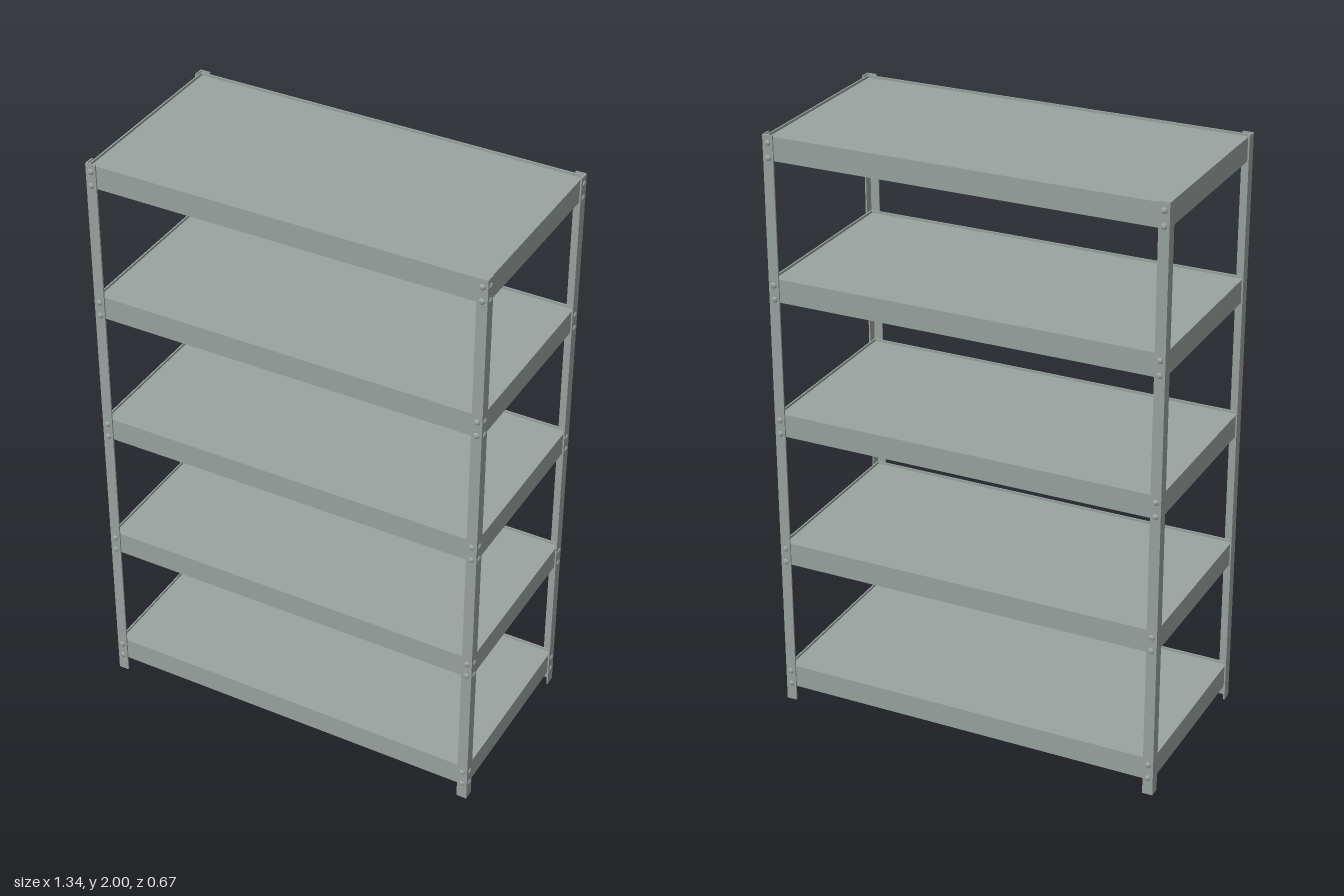
import * as THREE from 'three';

const steel = new THREE.MeshStandardMaterial({ color: 0x9aa3a0 });
steel.name = 'galvanised steel';

const XMIN = -0.669, XMAX = 0.663, Z = 0.331; // outer faces of the posts
const LEG = 0.035, WALL = 0.005;              // angle-iron leg width and thickness
const SHELF_BOTTOMS = [0.052, 0.518, 0.985, 1.451, 1.917];
const FLANGE = 0.078, DROP = 0.008;

function add(parent, name, geometry, x, y, z) {
  const mesh = new THREE.Mesh(geometry, steel);
  mesh.name = name;
  mesh.position.set(x, y, z);
  parent.add(mesh);
  return mesh;
}

// Upright with an L section, its corner at the origin and legs running towards sx, sz
function postGeometry(sx, sz) {
  const outline = [[0, 0], [LEG, 0], [LEG, WALL], [WALL, WALL], [WALL, LEG], [0, LEG]];
  const shape = new THREE.Shape(outline.map(([a, b]) => new THREE.Vector2(a * sx, -b * sz)));
  return new THREE.ExtrudeGeometry(shape, { depth: 2, bevelEnabled: false }).rotateX(-Math.PI / 2);
}

// Shallow domed bolt head pointing along +y
function boltGeometry(height) {
  const r = 0.01;
  const profile = [[r, 0], [r * 0.9, height * 0.5], [r * 0.55, height * 0.88], [0, height]];
  return new THREE.LatheGeometry(profile.map(([a, b]) => new THREE.Vector2(a, b)), 12);
}

// Tray: rectangular frame of folded edges with a sheet just below the rim
function createShelf(bottom) {
  const shelf = new THREE.Group();
  shelf.name = 'shelf';
  const x0 = XMIN + WALL, x1 = XMAX - WALL, z1 = Z - WALL;
  const width = x1 - x0, cx = (x0 + x1) / 2, cy = bottom + FLANGE / 2;
  for (const s of [1, -1]) {
    add(shelf, s > 0 ? 'frontFlange' : 'backFlange',
      new THREE.BoxGeometry(width, FLANGE, WALL), cx, cy, s * (z1 - WALL / 2));
    add(shelf, s > 0 ? 'leftFlange' : 'rightFlange',
      new THREE.BoxGeometry(WALL, FLANGE, 2 * (z1 - WALL)), cx + s * (width - WALL) / 2, cy, 0);
  }
  add(shelf, 'shelfSheet', new THREE.BoxGeometry(width - 2 * WALL, WALL, 2 * (z1 - WALL)),
    cx, bottom + FLANGE - DROP - WALL / 2, 0);
  return shelf;
}

export function createModel() {
  const model = new THREE.Group();
  model.name = 'shelvingUnit';

  SHELF_BOTTOMS.forEach((bottom) => model.add(createShelf(bottom)));

  for (const sx of [1, -1]) {
    for (const sz of [1, -1]) {
      const corner = new THREE.Group();
      corner.name = 'cornerPost';
      const x = sx > 0 ? XMAX : XMIN;
      add(corner, 'post', postGeometry(-sx, -sz), x, 0, sz * Z);

      // Two bolts through each leg at every shelf
      for (const bottom of SHELF_BOTTOMS) {
        for (const dy of [0.009, 0.057]) {
          const y = bottom + dy;
          add(corner, 'faceBolt', boltGeometry(0.005), x - sx * LEG / 2, y, sz * Z)
            .rotation.x = sz * Math.PI / 2;
          add(corner, 'sideBolt', boltGeometry(sx > 0 ? 0.006 : 0.001), x, y, sz * (Z - LEG / 2))
            .rotation.z = -sx * Math.PI / 2;
        }
      }
      model.add(corner);
    }
  }
  return model;
}
